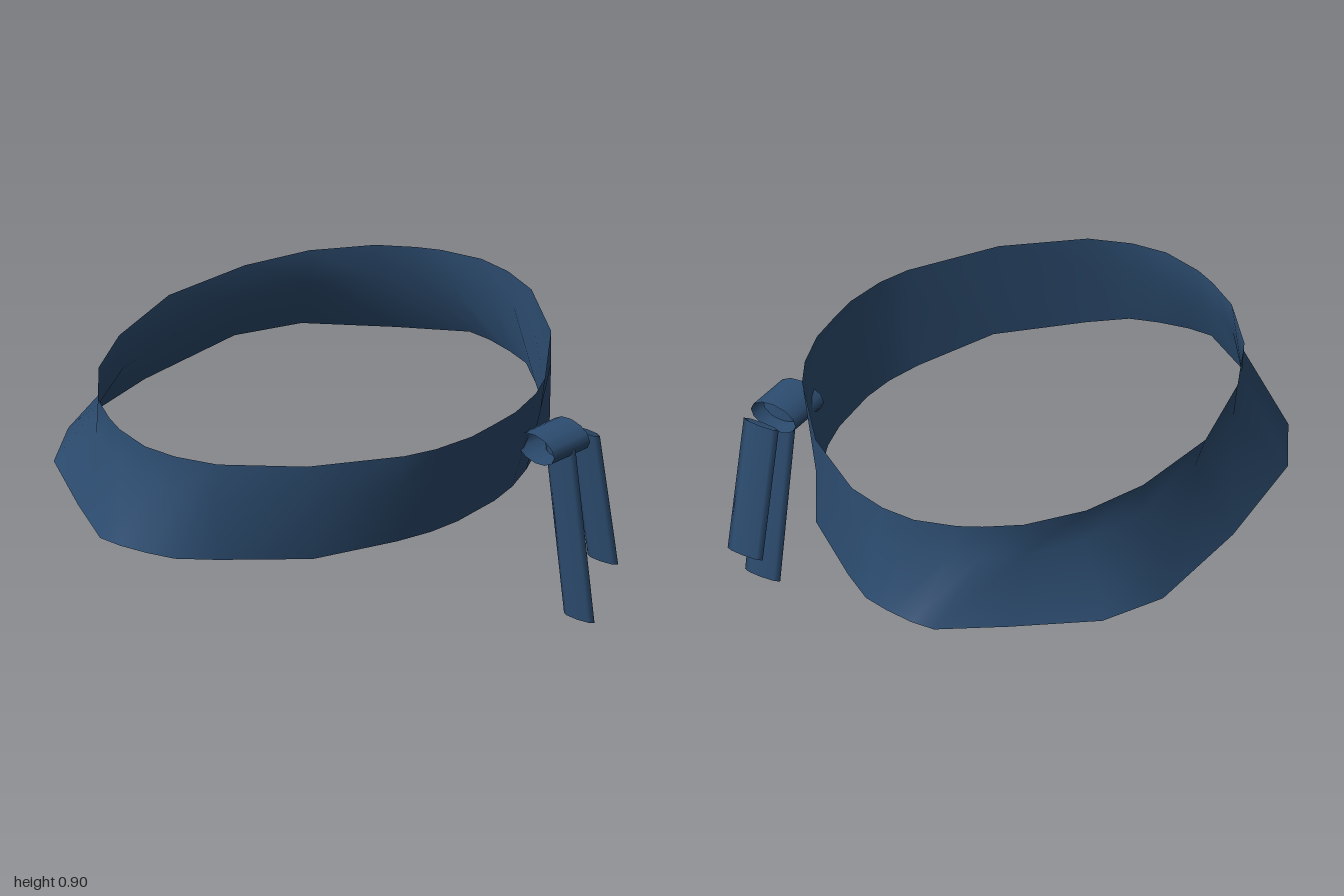
import * as THREE from 'three';

const navy = new THREE.MeshStandardMaterial({ color: 0x2d4d71, side: THREE.DoubleSide });
navy.name = 'navy cloth';

// Half outlines [x, z] of the sash, front centre to back centre, one per height
const rings = [
  { y: 0.53, pts: [[0, .645], [.1, .645], [.22, .625], [.35, .58], [.64, .44], [.86, .19], [.95, .07],
    [.98, -.03], [1, -.14], [1, -.23], [.86, -.45], [.67, -.72], [.45, -.84], [0, -.87]] },
  { y: 0.77, pts: [[0, .705], [.11, .705], [.26, .672], [.38, .62], [.66, .43], [.86, .18], [.905, .05],
    [.92, -.07], [.89, -.23], [.84, -.33], [.76, -.45], [.57, -.59], [.33, -.69], [0, -.718]] },
  { y: 0.9, pts: [[0, .727], [.12, .725], [.27, .69], [.38, .64], [.66, .43], [.85, .18], [.9, .03],
    [.91, -.1], [.87, -.25], [.83, -.33], [.75, -.45], [.57, -.6], [.34, -.7], [0, -.76]] },
];

// Mirrors each half outline into a closed loop and skins the loops together
function sashGeometry() {
  const pos = [], idx = [];
  let n = 0;
  for (const { y, pts } of rings) {
    const mirrored = pts.slice(1, -1).reverse().map(([x, z]) => [-x, z]);
    const loop = [...pts, ...mirrored];
    n = loop.length;
    for (const [x, z] of loop) pos.push(x, y, z);
  }
  for (let r = 0; r < rings.length - 1; r++) {
    for (let i = 0; i < n; i++) {
      const j = (i + 1) % n;
      const a = r * n + i, b = r * n + j, c = b + n, d = a + n;
      idx.push(a, b, c, a, c, d);
    }
  }
  const g = new THREE.BufferGeometry();
  g.setAttribute('position', new THREE.Float32BufferAttribute(pos, 3));
  g.setIndex(idx);
  g.computeVertexNormals();
  return g;
}

// Open flattened sleeve hanging between two points
function strip(name, top, bottom) {
  const a = new THREE.Vector3(...top), b = new THREE.Vector3(...bottom);
  const dir = a.clone().sub(b);
  const g = new THREE.CylinderGeometry(1, 1, dir.length(), 8, 1, true);
  g.scale(0.0135, 1, 0.07);
  const mesh = new THREE.Mesh(g, navy);
  mesh.name = name;
  mesh.position.copy(a).add(b).multiplyScalar(0.5);
  mesh.quaternion.setFromUnitVectors(new THREE.Vector3(0, 1, 0), dir.normalize());
  return mesh;
}

export function createModel() {
  const model = new THREE.Group();
  model.name = 'sash';

  const band = new THREE.Mesh(sashGeometry(), navy);
  band.name = 'band';
  model.add(band);

  // Knot: a flattened open tube lying across the front
  const knotGeo = new THREE.CylinderGeometry(1, 1, 0.175, 12, 1, true);
  knotGeo.rotateZ(Math.PI / 2);
  knotGeo.scale(1, 0.055, 0.095);
  const knot = new THREE.Mesh(knotGeo, navy);
  knot.name = 'knot';
  knot.position.set(0.305, 0.715, 0.74);
  knot.rotation.y = -0.1;
  model.add(knot);

  model.add(strip('longTail', [0.308, 0.71, 0.77], [0.375, 0.007, 0.8]));
  model.add(strip('shortTail', [0.44, 0.71, 0.77], [0.507, 0.183, 0.797]));
  return model;
}
